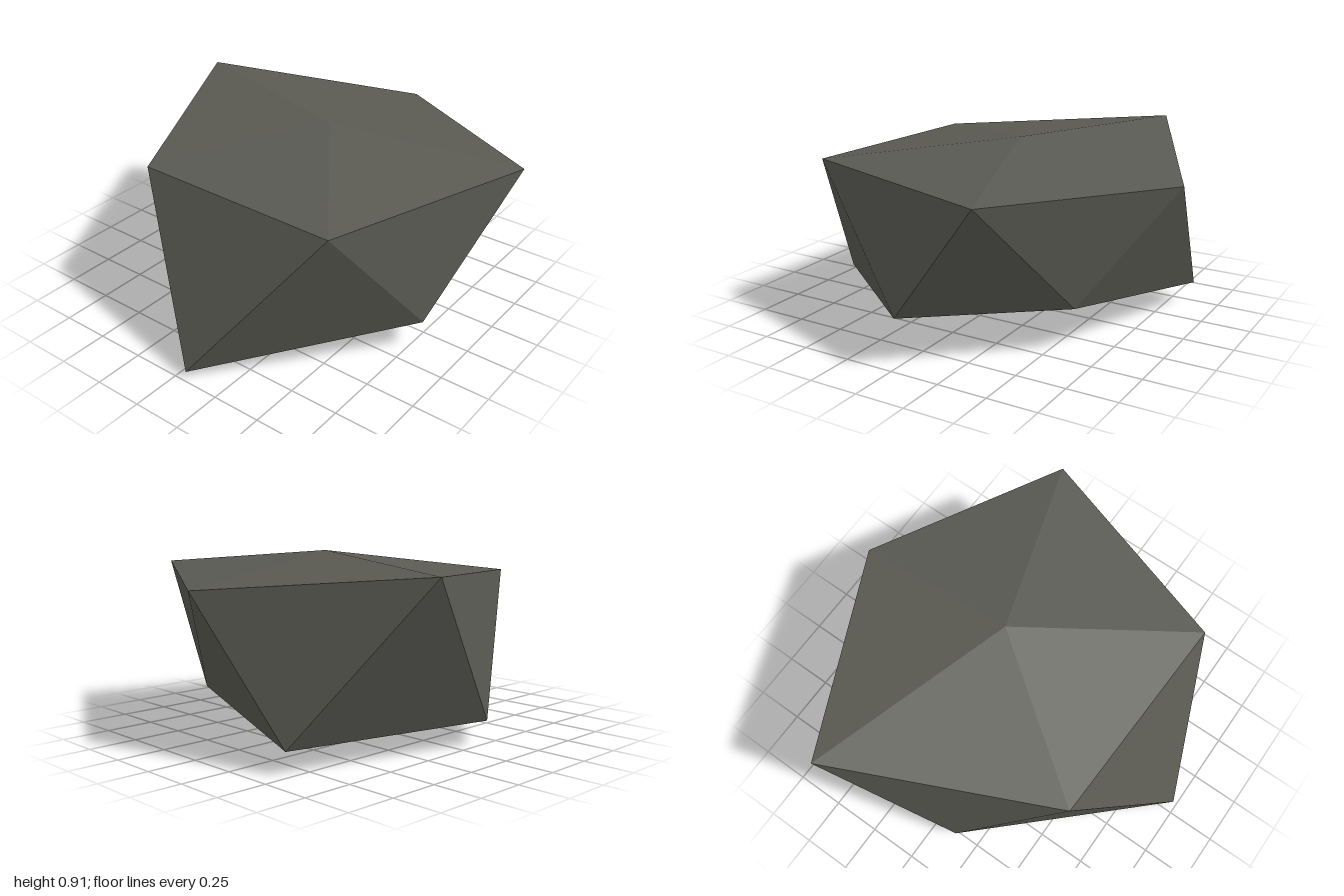
import * as THREE from 'three';

// Faceted boulder: two apexes and two staggered rings of five corners
export function createModel() {
  const stone = new THREE.MeshStandardMaterial({ color: 0x5a5a53, flatShading: true });
  stone.name = 'dark stone grey';

  const top = [0.13, 0.91, 0.06];
  const bottom = [0.13, 0, 0.06];
  const upper = [
    [-0.66, 0.82, 0.63], [0.43, 0.82, 0.99], [0.98, 0.77, 0.05],
    [0.47, 0.87, -1.0], [-0.62, 0.8, -0.48],
  ];
  // each lower corner sits between upper corners i and i + 1
  const lower = [
    [-0.12, 0.16, 0.81], [0.62, 0.225, 0.42], [0.87, 0.11, -0.48],
    [-0.14, 0.125, -0.78], [-0.98, 0.035, 0.05],
  ];

  const positions = [];
  const face = (...corners) => positions.push(...corners.flat());
  for (let i = 0; i < 5; i++) {
    const j = (i + 1) % 5;
    face(top, upper[i], upper[j]);         // cap
    face(upper[i], lower[i], upper[j]);    // sides
    face(lower[i], lower[j], upper[j]);
    face(bottom, lower[j], lower[i]);      // underside
  }

  const geometry = new THREE.BufferGeometry();
  geometry.setAttribute('position', new THREE.Float32BufferAttribute(positions, 3));
  geometry.computeVertexNormals();

  const boulder = new THREE.Mesh(geometry, stone);
  boulder.name = 'boulder';
  const group = new THREE.Group();
  group.name = 'rock';
  group.add(boulder);
  return group;
}
